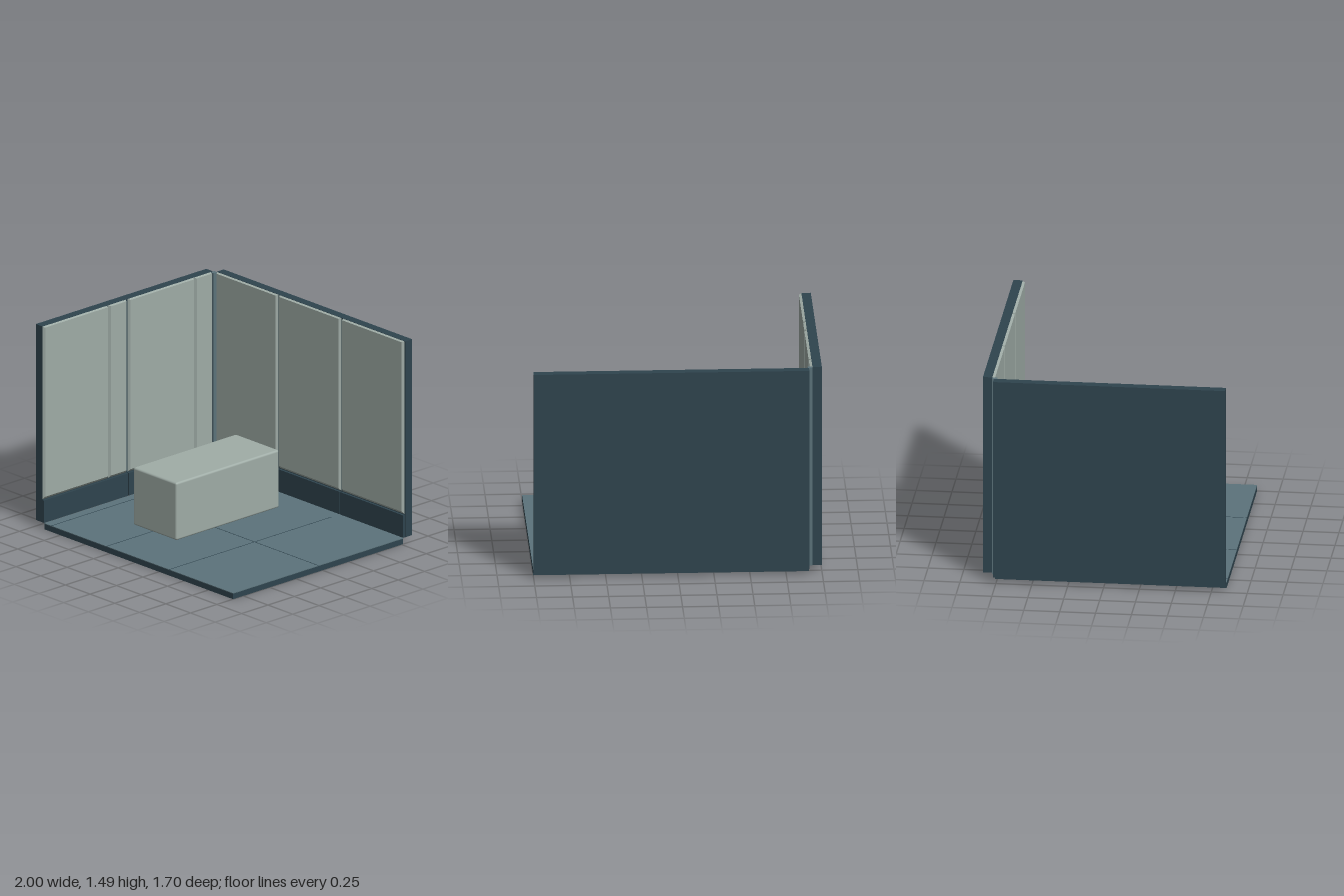
import * as THREE from 'three';
import { RoundedBoxGeometry } from 'three/addons/geometries/RoundedBoxGeometry.js';

export function createModel() {
  const model = new THREE.Group();
  model.name = 'roomCorner';
  const mat = (name, color) => {
    const m = new THREE.MeshStandardMaterial({ color });
    m.name = name;
    return m;
  };
  const dark = mat('darkTeal', 0x2f444e);
  const slate = mat('slateFloor', 0x5c737b);
  const pale = mat('paleGreyGreen', 0xa0ada7);

  // Box given by its minimum and maximum corners
  function box(parent, name, material, x0, x1, y0, y1, z0, z1) {
    const mesh = new THREE.Mesh(new THREE.BoxGeometry(x1 - x0, y1 - y0, z1 - z0), material);
    mesh.position.set((x0 + x1) / 2, (y0 + y1) / 2, (z0 + z1) / 2);
    mesh.name = name;
    parent.add(mesh);
    return mesh;
  }

  // Panel whose front face is inset, giving sloped edges
  function panel(parent, x0, x1) {
    const side = 0.012, low = 0.02, high = 0.005, depth = 0.018;
    const mesh = box(parent, 'wallPanel', pale, x0 - side, x1 + side, 0.215, 1.488, 0, depth);
    const p = mesh.geometry.attributes.position;
    for (let i = 0; i < p.count; i++) {
      if (p.getZ(i) < 0) continue;
      p.setX(i, p.getX(i) - Math.sign(p.getX(i)) * side);
      p.setY(i, p.getY(i) + (p.getY(i) < 0 ? low : -high));
    }
    mesh.geometry.computeVertexNormals();
  }

  // Wall with its inner face on local z = 0
  function wall(name, x0, x1, panels, skirts, patch) {
    const g = new THREE.Group();
    g.name = name;
    box(g, 'wallSlab', dark, x0, x1, 0.045, 1.49, -0.065, 0);
    panels.forEach(([a, b]) => panel(g, a, b));
    skirts.forEach(([a, b]) => box(g, 'skirting', dark, a, b, 0.045, 0.21, 0, 0.018));
    box(g, 'cornerSkirting', slate, patch[0], patch[1], 0.045, 0.212, 0, 0.016);
    model.add(g);
    return g;
  }

  wall('backWall', -0.91, 1,
    [[-0.893, -0.295], [-0.26, 0.34], [0.38, 0.98]],
    [[-0.84, -0.284], [-0.276, 0.351], [0.359, 0.998]],
    [-0.91, -0.84]).position.z = -0.785;

  const sideWall = wall('rightWall', -0.845, 0.77,
    [[-0.833, -0.24], [-0.21, -0.065], [-0.025, 0.575], [0.602, 0.745]],
    [[-0.845, -0.049], [-0.041, 0.69]],
    [0.69, 0.765]);
  sideWall.rotation.y = Math.PI / 2;
  sideWall.position.x = -0.935;

  // Upright filling the inner corner
  box(model, 'cornerPost', slate, -0.933, -0.902, 0.045, 1.488, -0.783, -0.748);

  // Floor slab, covering and tile seams
  box(model, 'floorSlab', dark, -0.91, 1, 0, 0.04, -0.765, 0.847);
  box(model, 'floorCovering', slate, -0.915, 1, 0.04, 0.045, -0.768, 0.847);
  for (const x of [-0.84, -0.28, 0.355])
    box(model, 'floorSeam', dark, x - 0.003, x + 0.003, 0.044, 0.0458, -0.69, 0.847);
  box(model, 'floorSeam', dark, -0.84, 1, 0.044, 0.0458, 0.037, 0.043);

  // Block standing on the floor
  const block = new THREE.Mesh(new RoundedBoxGeometry(0.44, 0.425, 0.975, 2, 0.015), pale);
  block.position.set(-0.25, 0.2575, -0.0675);
  block.name = 'block';
  model.add(block);

  return model;
}
